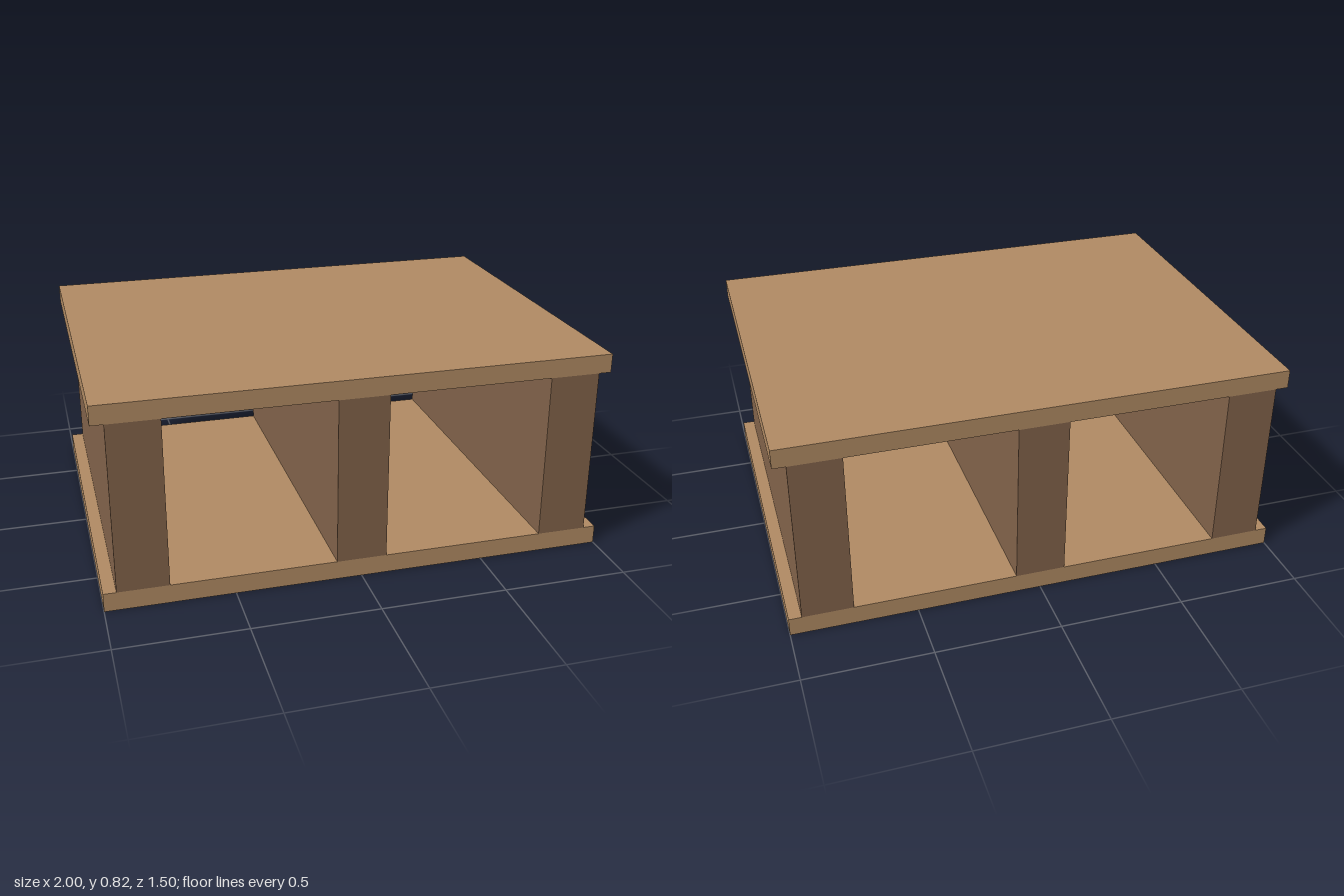
import * as THREE from 'three';

export function createModel() {
  const model = new THREE.Group();
  model.name = 'pallet';

  const lightWood = new THREE.MeshStandardMaterial({ color: 0xb08a63 });
  lightWood.name = 'light wood';
  const darkWood = new THREE.MeshStandardMaterial({ color: 0x82634a });
  darkWood.name = 'dark wood';

  const depth = 1.5;
  const deckHeight = 0.075;
  const beamHeight = 0.675;

  // Box standing on the given base height
  function addBox(name, width, height, x, baseY, material) {
    const mesh = new THREE.Mesh(new THREE.BoxGeometry(width, height, depth), material);
    mesh.name = name;
    mesh.position.set(x, baseY + height / 2, 0);
    model.add(mesh);
  }

  // Bottom and top decks
  addBox('bottomDeck', 2, deckHeight, 0, 0, lightWood);
  addBox('topDeck', 2, deckHeight, 0, deckHeight + beamHeight, lightWood);

  // Three beams running front to back between the decks
  const beams = { rightBeam: -0.85, middleBeam: 0, leftBeam: 0.85 };
  for (const [name, x] of Object.entries(beams)) {
    addBox(name, 0.2, beamHeight, x, deckHeight, darkWood);
  }

  return model;
}
